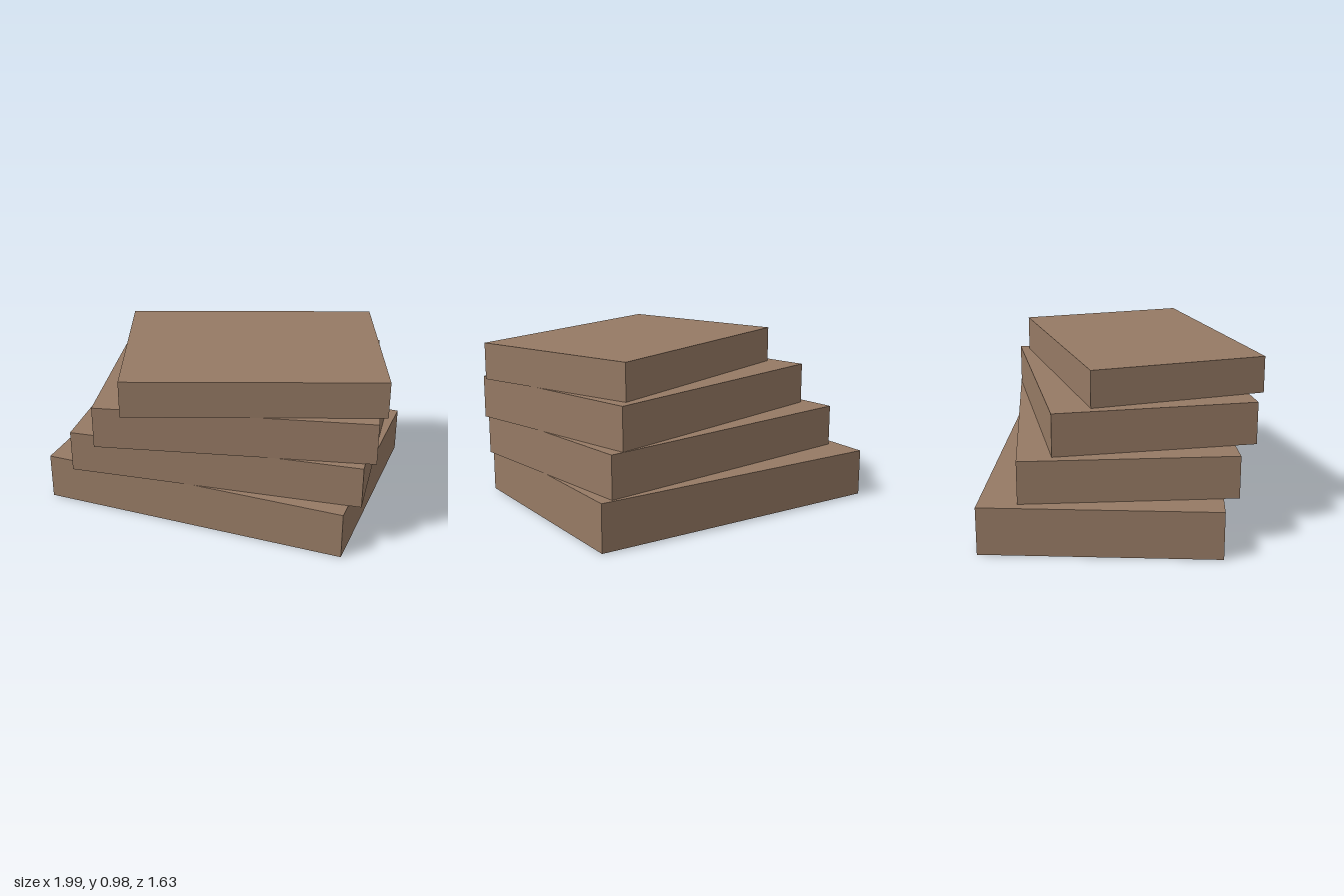
import * as THREE from 'three';

// Each slab: width, depth, bottom y, top y, centre x, centre z, turn about y
const SLABS = [
  { name: 'bottomSlab', w: 1.825, d: 1.34, y0: 0, y1: 0.275, x: -0.024, z: -0.058, turn: -0.1 },
  { name: 'lowerSlab', w: 1.705, d: 1.217, y0: 0.275, y1: 0.52, x: 0.036, z: 0.0, turn: 0.02 },
  { name: 'upperSlab', w: 1.583, d: 1.157, y0: 0.52, y1: 0.765, x: 0.096, z: 0.062, turn: 0.14 },
  { name: 'topSlab', w: 1.46, d: 1.03, y0: 0.765, y1: 0.978, x: 0.158, z: 0.125, turn: 0.26 },
];

export function createModel() {
  const group = new THREE.Group();
  group.name = 'slabStack';
  const stone = new THREE.MeshStandardMaterial({ color: 0x967a64 });

  // Twisting stack of flat slabs, smaller towards the top
  for (const s of SLABS) {
    const slab = new THREE.Mesh(new THREE.BoxGeometry(s.w, s.y1 - s.y0, s.d), stone);
    slab.name = s.name;
    slab.position.set(s.x, (s.y0 + s.y1) / 2, s.z);
    slab.rotation.y = s.turn;
    group.add(slab);
  }
  return group;
}
